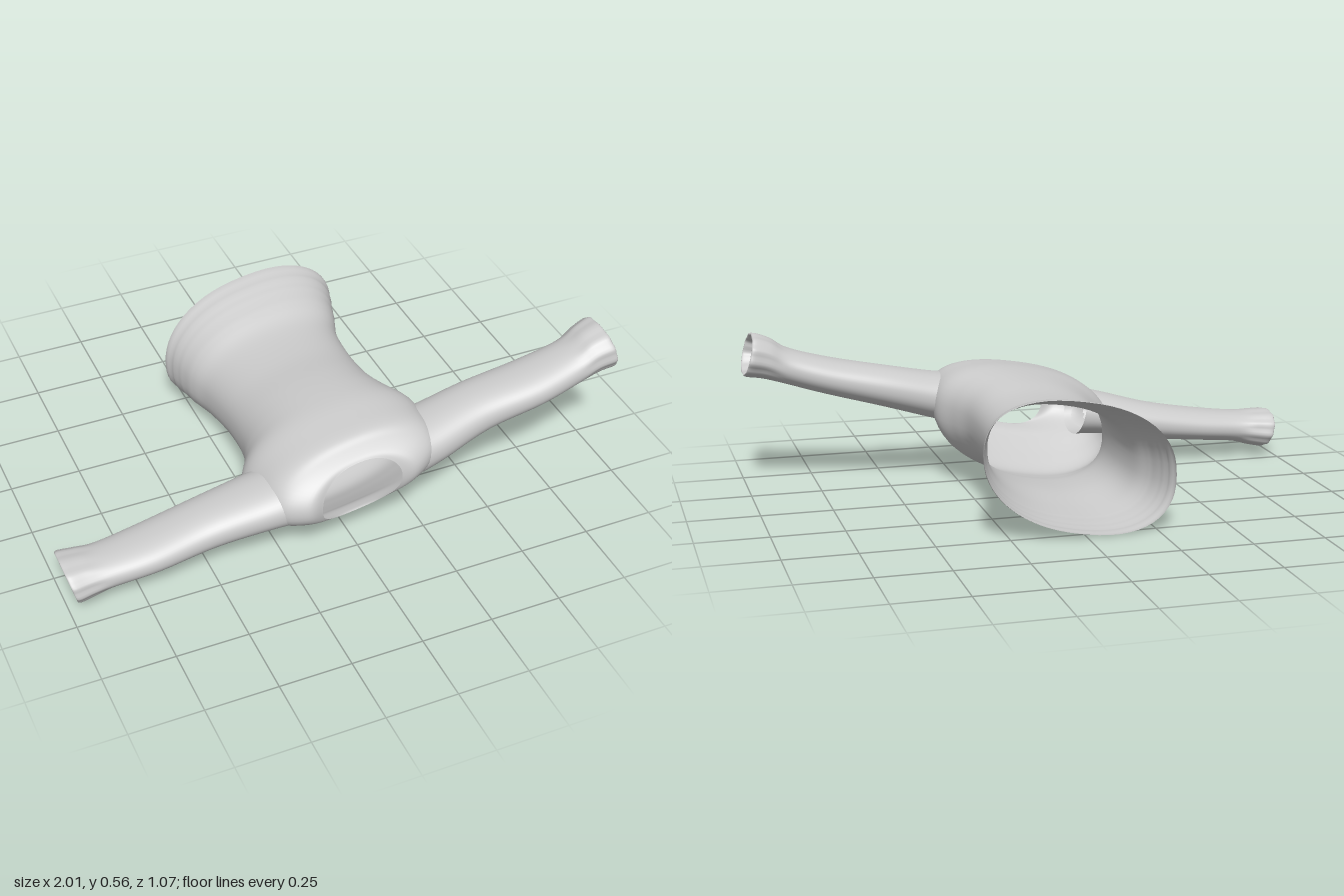
import * as THREE from 'three';

const SIDES = 56;

// Catmull-Rom value of column c at parameter u along the rows
function sample(rows, c, u) {
  const i = Math.min(Math.floor(u), rows.length - 2), f = u - i;
  const at = (n) => rows[Math.max(0, Math.min(rows.length - 1, n))][c];
  const p = [at(i - 1), at(i), at(i + 1), at(i + 2)];
  const m1 = (p[2] - p[0]) / 2, m2 = (p[3] - p[1]) / 2;
  return p[1] + m1 * f + (3 * (p[2] - p[1]) - 2 * m1 - m2) * f * f
    + (2 * (p[1] - p[2]) + m1 + m2) * f * f * f;
}

// Rounded-oval unit curve
function oval(t, n) {
  const c = Math.cos(t), s = Math.sin(t), e = 2 / n;
  return [Math.sign(c) * Math.abs(c) ** e, Math.sign(s) * Math.abs(s) ** e];
}

// Open skin through smoothly interpolated cross-sections
function loft(rows, steps, place, skip = () => false) {
  const pos = [], index = [], rings = (rows.length - 1) * steps;
  for (let i = 0; i <= rings; i++) {
    const row = rows[0].map((_, c) => sample(rows, c, i / steps));
    for (let j = 0; j < SIDES; j++) pos.push(...place(row, (j / SIDES) * Math.PI * 2));
  }
  for (let i = 0; i < rings; i++) {
    for (let j = 0; j < SIDES; j++) {
      const k = (j + 1) % SIDES;
      const a = i * SIDES + j, b = i * SIDES + k, c = a + SIDES, d = b + SIDES;
      const mid = [0, 1, 2].map((n) => (pos[a * 3 + n] + pos[d * 3 + n]) / 2);
      if (!skip(mid)) index.push(a, b, d, a, d, c);
    }
  }
  const g = new THREE.BufferGeometry();
  g.setAttribute('position', new THREE.Float32BufferAttribute(pos, 3));
  g.setIndex(index);
  g.computeVertexNormals();
  return g;
}

export function createModel() {
  const group = new THREE.Group();
  const cloth = new THREE.MeshStandardMaterial({ color: 0xcccccc, side: THREE.DoubleSide });
  const add = (name, geometry) => {
    const mesh = new THREE.Mesh(geometry, cloth);
    mesh.name = name;
    group.add(mesh);
  };

  // Torso from hem to neckline: z, centre x, half width, bottom y, top y, z dip at top and bottom
  const torso = [
    [-0.505, 0.01, 0.33, 0.005, 0.465, 0.035],
    [-0.45, 0.01, 0.315, 0.005, 0.452, 0.02],
    [-0.35, 0.008, 0.287, 0.015, 0.42, 0.01],
    [-0.26, 0.008, 0.26, 0.025, 0.39, 0],
    [-0.1, 0.01, 0.245, 0.04, 0.388, 0],
    [0.05, 0.01, 0.25, 0.035, 0.405, 0],
    [0.15, 0.01, 0.28, 0.02, 0.415, 0],
    [0.24, 0.005, 0.325, 0.012, 0.42, 0],
    [0.33, 0.005, 0.325, 0.05, 0.417, 0.01],
    [0.42, 0.005, 0.31, 0.1, 0.41, 0.02],
    [0.49, 0.005, 0.275, 0.125, 0.39, 0.055],
    [0.53, 0.005, 0.2, 0.14, 0.365, 0.06],
    [0.522, 0.005, 0.145, 0.142, 0.35, 0.04],
  ];
  const slant = 0.17;
  add('torso', loft(torso, 6, ([z, cx, a, y0, y1, dip], t) => {
    const [c, s] = oval(t, 2.3);
    const half = (y1 - y0) / 2;
    const h = Math.sqrt(half * half - (slant * a) ** 2);
    // shallow ribs in the hem band
    const rib = z < -0.36 ? 1 + 0.006 * Math.sin(z * 150) : 1;
    return [cx + a * c * rib, (y0 + y1) / 2 + h * s * rib + slant * a * c, z - dip * s * s];
  }, ([x, y, z]) => Math.abs(x) > 0.24 // armholes
    && ((z - 0.375) / 0.09) ** 2 + ((y - 0.245 - slant * x) / 0.05) ** 2 < 1));

  // Sleeves: distance from middle, centre z, half depth, centre y, half height
  const leftSleeve = [
    [0.23, 0.38, 0.128, 0.285, 0.09],
    [0.32, 0.375, 0.122, 0.302, 0.08],
    [0.5, 0.36, 0.108, 0.348, 0.07],
    [0.7, 0.37, 0.106, 0.395, 0.062],
    [0.85, 0.372, 0.096, 0.44, 0.06],
    [0.92, 0.368, 0.1, 0.472, 0.069],
    [0.975, 0.366, 0.108, 0.487, 0.074],
    [0.984, 0.366, 0.099, 0.487, 0.066],
    [0.95, 0.366, 0.09, 0.482, 0.056],
  ];
  const rightY = [0.205, 0.193, 0.155, 0.125, 0.108, 0.1, 0.095, 0.095, 0.098];
  const rightSleeve = leftSleeve.map(([x, z, hz, , hy], i) => [x, z - 0.008, hz, rightY[i], hy * 0.92]);
  for (const [name, rows, side] of [['leftSleeve', leftSleeve, 1], ['rightSleeve', rightSleeve, -1]]) {
    add(name, loft(rows, 5, ([x, z, hz, y, hy], t) => {
      const [c, s] = oval(t, 2.2);
      // gathers at the cuff, and cross-sections square to the sleeve
      const gather = 1 + 0.025 * THREE.MathUtils.smoothstep(x, 0.84, 0.93) * Math.cos(11 * t);
      const up = hy * c * gather;
      return [side * x - 0.25 * up, y + up, z + side * hz * s * gather];
    }));
  }
  return group;
}
